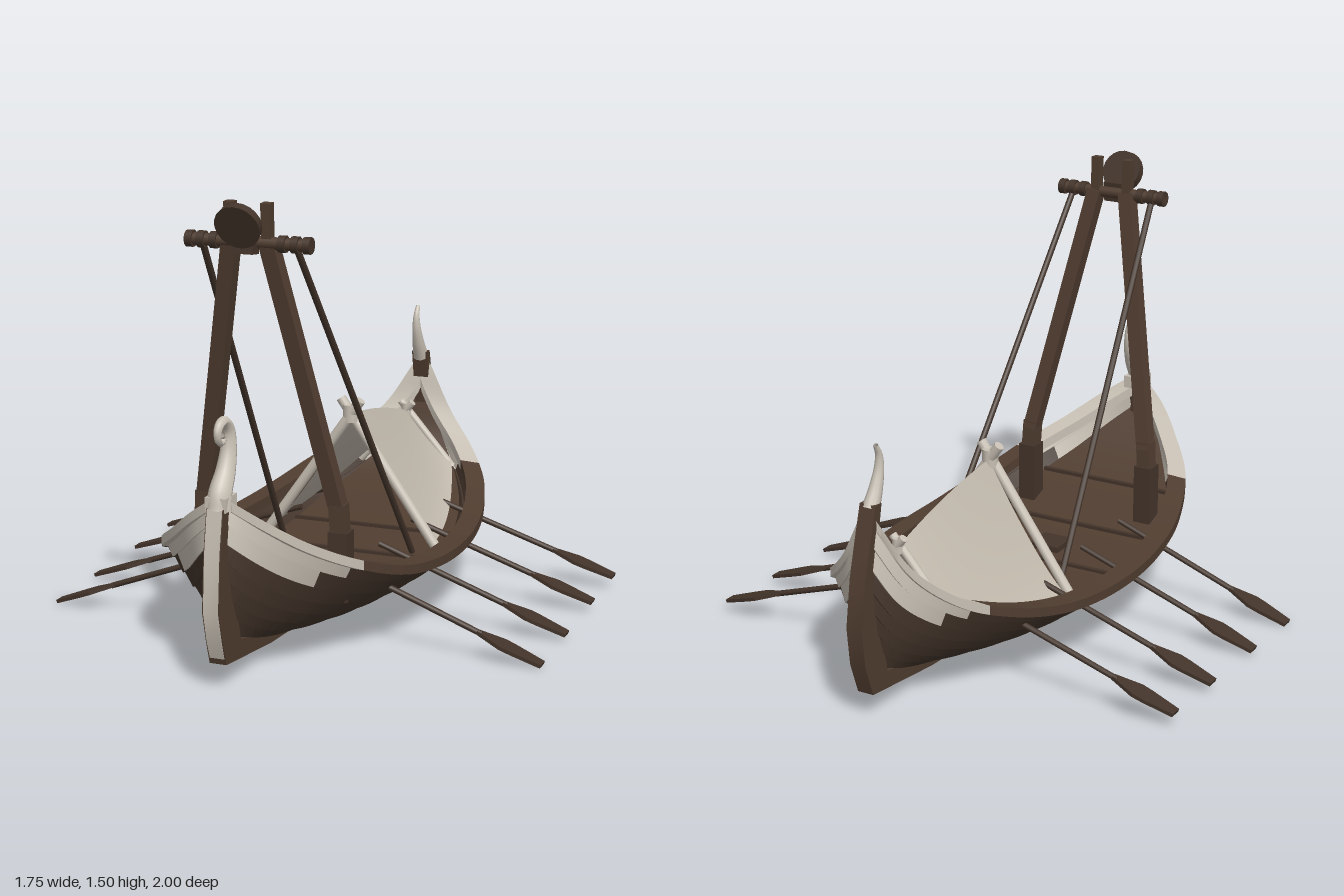
import * as THREE from 'three';
import { toCreasedNormals } from 'three/addons/utils/BufferGeometryUtils.js';

const V = (x, y, z) => new THREE.Vector3(x, y, z);
const mat = (name, color, side = THREE.FrontSide) => {
  const m = new THREE.MeshStandardMaterial({ color, side });
  m.name = name;
  return m;
};

export function createModel() {
  const wood = mat('wood', 0x503d30, THREE.DoubleSide);
  const darkWood = mat('dark wood', 0x43342a, THREE.DoubleSide);
  const bone = mat('pale paint', 0xc8c0b4, THREE.DoubleSide);
  const cloth = mat('tent cloth', 0xc0b8ab, THREE.DoubleSide);
  const model = new THREE.Group();
  model.name = 'rowing ship';

  const add = (name, geo, material, parent = model) => {
    const m = new THREE.Mesh(geo, material);
    m.name = name;
    parent.add(m);
    return m;
  };
  const UP = V(0, 1, 0);
  // straight bar between two points, round or square
  const bar = (name, a, b, r, material, square = false, parent = model) => {
    const len = a.distanceTo(b);
    const geo = square ? new THREE.BoxGeometry(r * 2, len, r * 2) : new THREE.CylinderGeometry(r, r, len, 10);
    const m = add(name, geo, material, parent);
    m.position.copy(a).add(b).multiplyScalar(0.5);
    m.quaternion.setFromUnitVectors(UP, b.clone().sub(a).normalize());
    return m;
  };
  // tube whose radius follows a rule
  const taperTube = (name, pts, radius, material) => {
    const seg = 40, sides = 10, curve = new THREE.CatmullRomCurve3(pts);
    const geo = new THREE.TubeGeometry(curve, seg, 1, sides);
    const p = geo.attributes.position, v = V(0, 0, 0);
    for (let i = 0; i < p.count; i++) {
      const k = Math.floor(i / (sides + 1)) / seg, c = curve.getPointAt(k);
      v.fromBufferAttribute(p, i).sub(c).multiplyScalar(radius(k)).add(c);
      p.setXYZ(i, v.x, v.y, v.z);
    }
    geo.computeVertexNormals();
    return add(name, geo, material);
  };
  const quad = (list, a, b, c, d) => [a, b, c, a, c, d].forEach((p) => list.push(p.x, p.y, p.z));
  const fromList = (list, crease = 0.5) => {
    const geo = new THREE.BufferGeometry();
    geo.setAttribute('position', new THREE.Float32BufferAttribute(list, 3));
    return toCreasedNormals(geo, crease);
  };
  // flat side profile given as [z, y], extruded across x
  const plate = (name, pts, width, material) => {
    const geo = new THREE.ExtrudeGeometry(new THREE.Shape(pts.map(([z, y]) => new THREE.Vector2(z, y))),
      { depth: width, bevelEnabled: false });
    geo.translate(0, 0, -width / 2).rotateY(-Math.PI / 2);
    return add(name, toCreasedNormals(geo, 0.5), material);
  };

  // hull stations, bow to stern: half width, sheer y, sheer z, keel y, keel z
  const stations = [
    [0.02, 0.60, 0.92, 0.14, 0.86], [0.12, 0.53, 0.87, 0.11, 0.80], [0.22, 0.45, 0.78, 0.095, 0.72],
    [0.33, 0.37, 0.64, 0.08, 0.60], [0.41, 0.295, 0.42, 0.065, 0.40], [0.445, 0.26, 0.20, 0.06, 0.20],
    [0.455, 0.25, 0, 0.06, 0], [0.44, 0.25, -0.20, 0.06, -0.20], [0.405, 0.27, -0.40, 0.065, -0.40],
    [0.34, 0.32, -0.60, 0.08, -0.58], [0.24, 0.39, -0.76, 0.095, -0.72], [0.12, 0.50, -0.86, 0.11, -0.82],
    [0.02, 0.66, -0.91, 0.14, -0.88]];
  const sheer = new THREE.CatmullRomCurve3(stations.map((s) => V(s[0], s[1], s[2])));
  const keel = new THREE.CatmullRomCurve3(stations.map((s) => V(0, s[3], s[4])));
  const hullPoint = (u, t, out = 0) => {
    const s = sheer.getPoint(u), k = keel.getPoint(u);
    const e = Math.min(1, Math.abs(s.z / 0.92) ** 4);
    return V(s.x * t ** (0.75 + 0.25 * e) + out,
      k.y + (s.y - k.y) * t ** (1.7 - 0.7 * e) - out * 0.5,
      k.z + (s.z - k.z) * t + 0.05 * e * Math.sin(Math.PI * t) * Math.sign(s.z));
  };
  const flip = (p, side) => V(p.x * side, p.y, p.z);
  const N = 96, STRAKES = 8;

  // overlapping planks, pale at the upper ends
  const planks = [], palePlanks = [];
  for (const side of [1, -1]) for (let i = 0; i < N; i++) for (let j = 0; j < STRAKES; j++) {
    const u0 = i / N, u1 = (i + 1) / N, t0 = j / STRAKES, t1 = (j + 1) / STRAKES;
    const z = sheer.getPoint((u0 + u1) / 2).z;
    const pale = j >= 6 && (z > (j === 7 ? 0.64 : 0.71) || z < (j === 7 ? -0.72 : -0.78));
    const P = (u, t, o) => flip(hullPoint(u, t, o), side);
    const q = [P(u0, t0, 0.007), P(u1, t0, 0.007), P(u1, t1, 0), P(u0, t1, 0)];
    const lip = [P(u0, t0, 0), P(u1, t0, 0), q[1], q[0]];
    if (side < 0) { q.reverse(); lip.reverse(); }
    quad(pale ? palePlanks : planks, ...q);
    quad(pale ? palePlanks : planks, ...lip);
  }
  add('hullPlanks', fromList(planks, 0.3), darkWood);
  add('paleHullPlanks', fromList(palePlanks, 0.3), bone);

  // gunwale rails
  const rails = [], paleRails = [];
  const railSection = (u) => {
    const p = sheer.getPoint(u);
    const inner = Math.max(0, p.x - 0.06);
    return [[p.x + 0.012, -0.022], [p.x + 0.012, 0.01], [inner, 0.014], [inner, -0.022]]
      .map(([x, dy]) => V(x, p.y + dy, p.z));
  };
  for (const side of [1, -1]) for (let i = 0; i < N; i++) {
    const a = railSection(i / N), b = railSection((i + 1) / N);
    const pale = a[0].z > 0.62 || a[0].z < -0.67;
    for (let k = 0; k < 4; k++) {
      const q = [a[k], b[k], b[(k + 1) % 4], a[(k + 1) % 4]].map((p) => flip(p, side));
      if (side < 0) q.reverse();
      quad(pale ? paleRails : rails, ...q);
    }
  }
  add('gunwale', fromList(rails), wood);
  add('paleGunwale', fromList(paleRails), bone);

  // deck following the sheer
  const deckPoint = (u) => {
    const s = sheer.getPoint(u), k = keel.getPoint(u);
    const e = Math.min(1, Math.abs(s.z / 0.92) ** 4);
    return hullPoint(u, ((s.y - 0.1 - k.y) / (s.y - k.y)) ** (1 / (1.7 - 0.7 * e)));
  };
  const deck = [];
  for (let i = 1; i < N - 1; i++) {
    const a = deckPoint(i / N), b = deckPoint((i + 1) / N);
    quad(deck, flip(a, -1), a, b, flip(b, -1));
  }
  add('deck', fromList(deck), wood);
  for (const u of [0.24, 0.335, 0.44, 0.555, 0.66]) {
    const p = deckPoint(u);
    const beam = add('deckBeam', new THREE.BoxGeometry(p.x * 2, 0.012, 0.016), darkWood);
    beam.position.set(0, p.y + 0.004, p.z);
  }
  add('deckHatch', new THREE.BoxGeometry(0.11, 0.02, 0.11), darkWood).position.set(0, 0.175, 0.255);

  // keel with both stems
  plate('keelAndStems', [[0.93, 0.62], [0.96, 0.59], [0.985, 0.45], [1, 0.27], [0.975, 0.17], [0.95, 0.09],
    [0.6, 0.05], [0.3, 0.035], [0, 0.03], [-0.3, 0.035], [-0.6, 0.05], [-0.945, 0.09], [-0.985, 0.2], [-1, 0.33],
    [-0.975, 0.49], [-0.945, 0.6], [-0.91, 0.72], [-0.875, 0.72], [-0.895, 0.62], [-0.92, 0.5], [-0.91, 0.35],
    [-0.86, 0.14], [-0.6, 0.09], [0, 0.075], [0.6, 0.09], [0.84, 0.14], [0.9, 0.35], [0.92, 0.5], [0.89, 0.6]],
  0.058, wood);
  plate('stemFacing', [[0.965, 0.59], [0.989, 0.45], [1.002, 0.27], [0.979, 0.17], [0.957, 0.11],
    [0.951, 0.11], [0.973, 0.17], [0.996, 0.27], [0.983, 0.45], [0.957, 0.59]], 0.05, bone);

  // curled bow ornament and stern horn
  taperTube('bowCurl', [V(0, 0.58, 0.93), V(0, 0.63, 0.92), V(0, 0.69, 0.88), V(0, 0.76, 0.855), V(0, 0.82, 0.857),
    V(0, 0.852, 0.89), V(0, 0.838, 0.928), V(0, 0.803, 0.932), V(0, 0.786, 0.908), V(0, 0.8, 0.89), V(0, 0.812, 0.903)],
  (k) => 0.042 - 0.032 * Math.min(1, k * 1.15), bone);
  add('bowCap', new THREE.BoxGeometry(0.07, 0.045, 0.085), bone).position.set(0, 0.603, 0.915);
  taperTube('sternHorn', [V(0, 0.7, -0.893), V(0, 0.76, -0.862), V(0, 0.82, -0.842), V(0, 0.865, -0.842), V(0, 0.9, -0.858)],
    (k) => 0.029 - 0.021 * k, bone);

  // mast frame leaning forward
  for (const side of [1, -1]) {
    const at = (x, y, z) => V(x * side, y, z);
    bar('mastFoot', at(0.24, 0.2, 0.525), at(0.24, 0.43, 0.525), 0.033, darkWood, true);
    bar('mastKnee', at(0.24, 0.4, 0.525), at(0.234, 0.52, 0.53), 0.026, wood, true);
    bar('mastLeg', at(0.236, 0.49, 0.525), at(0.062, 1.38, 0.683), 0.025, wood, true);
    bar('mastHorn', at(0.062, 1.35, 0.685), at(0.062, 1.5, 0.69), 0.016, wood, true);
    bar('stay', at(0.158, 1.37, 0.69), at(0.243, 0.17, -0.14), 0.011, darkWood);
    for (const x of [0.115, 0.158, 0.198])
      bar('crossbarCollar', at(x - 0.012, 1.375, 0.69), at(x + 0.012, 1.375, 0.69), 0.027, darkWood);
  }
  bar('crossbar', V(-0.21, 1.375, 0.69), V(0.21, 1.375, 0.69), 0.02, wood);
  const disc = bar('mastDisc', V(0, 1.43, 0.745), V(0, 1.445, 0.785), 0.075, darkWood);
  disc.geometry = new THREE.CylinderGeometry(0.075, 0.072, 0.03, 20);
  disc.quaternion.setFromUnitVectors(UP, V(0, -0.42, 0.9).normalize());
  bar('discBracket', V(0, 1.375, 0.69), V(0, 1.38, 0.74), 0.035, darkWood, true);

  // tent cloth sagging from a curved ridge
  const tent = [];
  const tentPoint = (s, a) => {
    const w = Math.abs(a), low = 0.2 + 0.14 * s * s;
    const top = 0.635 - 0.05 * s - 0.065 * s * s;
    return V(a * (0.31 - 0.04 * s - 0.09 * s * s), low + (top - low) * (1 - w) ** 1.25, -0.18 - 0.56 * s);
  };
  for (let i = 0; i < 16; i++) for (let j = -10; j < 10; j++)
    quad(tent, tentPoint(i / 16, j / 10), tentPoint(i / 16, (j + 1) / 10),
      tentPoint((i + 1) / 16, (j + 1) / 10), tentPoint((i + 1) / 16, j / 10));
  add('tentCloth', fromList(tent, 0.6), cloth);
  for (const side of [1, -1]) {
    bar('tentFrontPole', V(0.32 * side, 0.18, -0.17 - 0.008 * side), V(-0.04 * side, 0.69, -0.17 - 0.008 * side), 0.018, bone);
    bar('tentRearPole', V(0.18 * side, 0.32, -0.742 - 0.006 * side), V(-0.025 * side, 0.555, -0.742 - 0.006 * side), 0.014, bone);
  }
  bar('tentFrontKnot', V(0, 0.61, -0.17), V(0, 0.67, -0.17), 0.028, bone);
  bar('tentRearKnot', V(0, 0.5, -0.742), V(0, 0.55, -0.742), 0.02, bone);

  // four pairs of oars
  const blade = new THREE.Shape([[-0.01, 0], [-0.038, -0.09], [-0.036, -0.13], [-0.022, -0.235],
    [0.022, -0.235], [0.036, -0.13], [0.038, -0.09], [0.01, 0]].map(([x, y]) => new THREE.Vector2(x, y)));
  const bladeGeo = new THREE.ExtrudeGeometry(blade, { depth: 0.012, bevelEnabled: false }).translate(0, 0, -0.006);
  [[0.375, 0.012], [0.095, 0.025], [-0.225, 0.038], [-0.5, 0.048]].forEach(([z, tipY]) => {
    for (const side of [1, -1]) {
      const oar = new THREE.Group();
      oar.name = 'oar';
      const tip = V(0.875, tipY, 0), grip = V(0.21, 0.262, 0), dir = tip.clone().sub(grip).normalize();
      bar('oarShaft', grip, tip.clone().addScaledVector(dir, -0.22), 0.01, darkWood, false, oar);
      const b = add('oarBlade', bladeGeo, darkWood, oar);
      b.position.copy(tip).addScaledVector(dir, -0.235);
      const down = dir.clone().negate(), across = V(0, 0, 1);
      b.quaternion.setFromRotationMatrix(new THREE.Matrix4().makeBasis(across, down, across.clone().cross(down)));
      oar.position.z = z;
      if (side < 0) oar.rotation.y = Math.PI;
      model.add(oar);
    }
  });
  return model;
}
